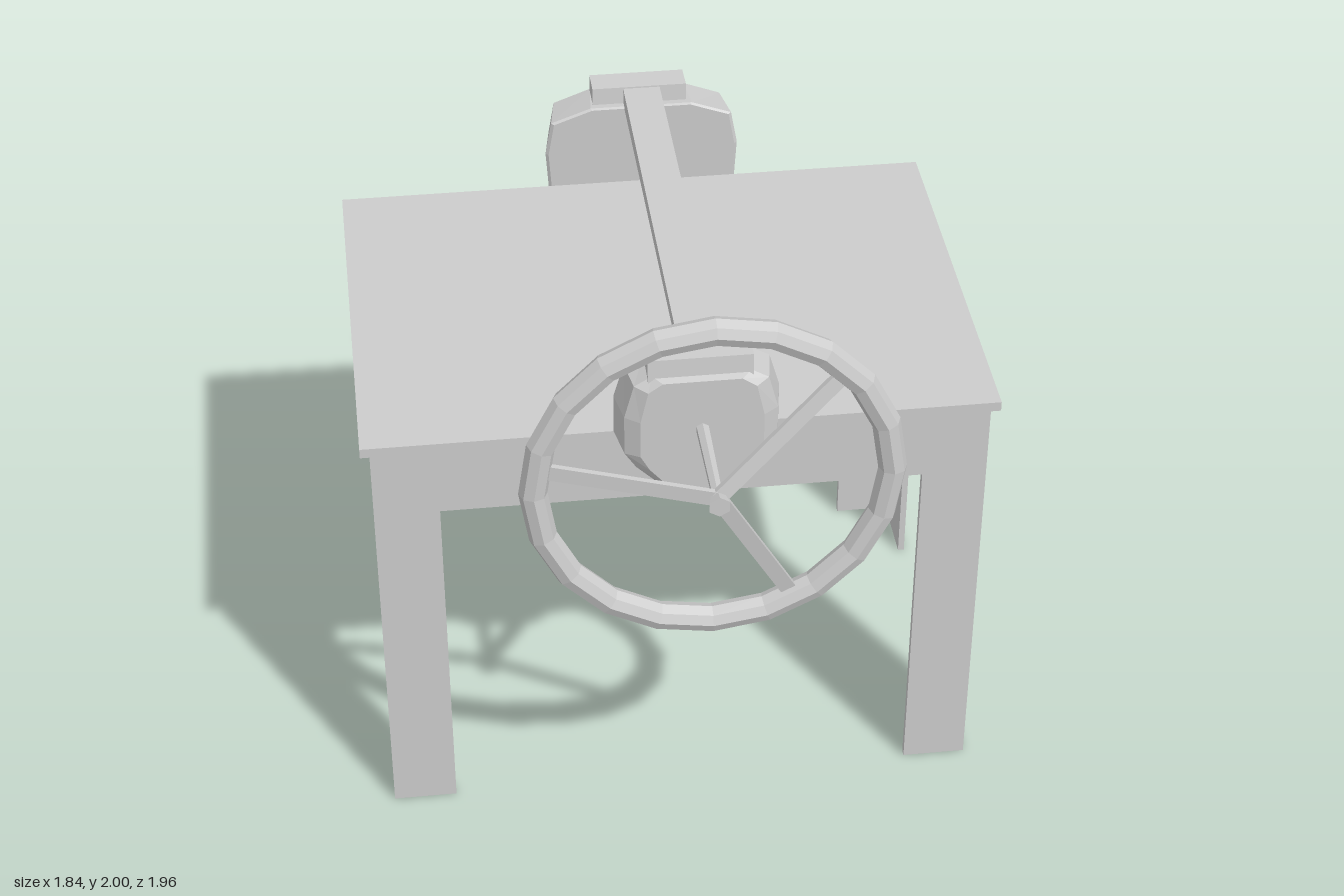
import * as THREE from 'three';

const material = new THREE.MeshStandardMaterial({ color: 0xcccccc, flatShading: true });
const CX = 0.033; // the steering assembly sits slightly off centre

function add(parent, name, geometry, x = 0, y = 0, z = 0) {
  const mesh = new THREE.Mesh(geometry, material);
  mesh.name = name;
  mesh.position.set(x, y, z);
  parent.add(mesh);
  return mesh;
}

// Box given by its minimum and maximum corners
function boxBetween(parent, name, x0, x1, y0, y1, z0, z1) {
  return add(parent, name, new THREE.BoxGeometry(x1 - x0, y1 - y0, z1 - z0),
    (x0 + x1) / 2, (y0 + y1) / 2, (z0 + z1) / 2);
}

// Two legs and the apron between them, cut from one board
function archBoard(width, leg, thickness) {
  const w = width / 2, height = 1.34, opening = 1.12;
  const shape = new THREE.Shape([
    [-w, 0], [-w + leg, 0], [-w + leg, opening], [w - leg, opening],
    [w - leg, 0], [w, 0], [w, height], [-w, height],
  ].map(([x, y]) => new THREE.Vector2(x, y)));
  return new THREE.ExtrudeGeometry(shape, { depth: thickness, bevelEnabled: false });
}

// Closed body through scaled copies of a half outline; sections: [z, scaleX, scaleY], z rising
function housing(half, sections) {
  const ring = [...half, ...half.slice().reverse().map(([x, y]) => [-x, y])];
  const n = ring.length, positions = [], index = [];
  for (const [z, sx, sy] of sections) for (const [x, y] of ring) positions.push(x * sx, y * sy, z);
  for (let s = 0; s < sections.length - 1; s++) {
    for (let i = 0; i < n; i++) {
      const a = s * n + i, b = s * n + (i + 1) % n;
      index.push(a, b, b + n, a, b + n, a + n);
    }
  }
  const last = (sections.length - 1) * n;
  for (let i = 1; i < n - 1; i++) {
    index.push(0, i + 1, i, last, last + i, last + i + 1);
  }
  const geometry = new THREE.BufferGeometry();
  geometry.setAttribute('position', new THREE.Float32BufferAttribute(positions, 3));
  geometry.setIndex(index);
  geometry.computeVertexNormals();
  return geometry;
}

// Flat bar between two points, its broad side facing the front
function bar(parent, name, from, to, width, depth) {
  const mesh = add(parent, name, new THREE.BoxGeometry(width, depth, from.distanceTo(to)));
  mesh.position.copy(from).add(to).multiplyScalar(0.5);
  mesh.up.set(0, 0, 1);
  mesh.lookAt(to);
}

function createTable() {
  const table = new THREE.Group();
  table.name = 'table';
  const t = 0.02, front = 0.475, back = -0.78, side = 0.893;
  boxBetween(table, 'tableTop', -0.92, 0.92, 1.34, 1.37, -0.82, 0.485);
  // Closed underside, flush with the lower edge of the apron
  boxBetween(table, 'underside', -side + t, side - t, 1.12, 1.14, back + t, front - t);
  add(table, 'frontBoard', archBoard(2 * side, 0.19, t), 0, 0, front - t);
  add(table, 'backBoard', archBoard(2 * side, 0.19, t), 0, 0, back);
  for (const [name, x] of [['leftBoard', side - t], ['rightBoard', -side]]) {
    const board = add(table, name, archBoard(front - back - 2 * t, 0.235, t), x, 0, (front + back) / 2);
    board.rotation.y = Math.PI / 2;
  }
  return table;
}

function createWheel() {
  const wheel = new THREE.Group();
  wheel.name = 'steeringWheel';
  const y = 1.468;
  add(wheel, 'rim', new THREE.TorusGeometry(0.494, 0.04, 8, 20), CX, y, 0.862);
  const hub = new THREE.Vector3(CX, y, 0.945);
  for (const degrees of [43, 171, 298]) {
    const a = THREE.MathUtils.degToRad(degrees);
    const end = new THREE.Vector3(CX + 0.47 * Math.cos(a), y + 0.47 * Math.sin(a), 0.865);
    bar(wheel, 'spoke', hub, end, 0.045, 0.016);
  }
  const shaft = add(wheel, 'shaft', new THREE.CylinderGeometry(0.016, 0.02, 0.36, 6), CX, y, 0.79);
  shaft.rotation.x = Math.PI / 2;
  const cap = add(wheel, 'hub', new THREE.CylinderGeometry(0.032, 0.02, 0.05, 6), CX, y, 0.96);
  cap.rotation.x = Math.PI / 2;
  return wheel;
}

function createColumn() {
  const column = new THREE.Group();
  column.name = 'steeringColumn';
  const y = 1.455;

  // Front housing behind the wheel
  const frontHalf = [[0.135, -0.185], [0.2, -0.125], [0.235, -0.075],
    [0.235, 0.05], [0.205, 0.155], [0.15, 0.185]];
  add(column, 'frontHousing', housing(frontHalf, [
    [0.48, 0.62, 0.92], [0.5, 1, 1], [0.605, 0.92, 1], [0.633, 0.74, 0.95],
  ]), CX, y, 0);

  // Wider rear housing
  const backHalf = [[0.16, -0.185], [0.255, -0.168], [0.297, -0.1],
    [0.305, 0.03], [0.285, 0.14], [0.16, 0.185]];
  add(column, 'rearHousing', housing(backHalf, [
    [-0.974, 0.5, 0.6], [-0.96, 0.93, 0.97], [-0.83, 1, 1], [-0.822, 0.97, 0.98],
  ]), CX, y, 0);

  // Tapered caps on top of both housings
  for (const [name, z] of [['frontCap', 0.562], ['rearCap', -0.902]]) {
    const cap = new THREE.BoxGeometry(0.295, 0.09, 0.11);
    const p = cap.attributes.position;
    for (let i = 0; i < p.count; i++) if (p.getY(i) > 0) p.setZ(i, p.getZ(i) * 0.8);
    add(column, name, cap, 0.03, 1.647, z);
  }

  // Raised panels on the rear face
  for (const [low, high] of [[1.33, 1.455], [1.475, 1.58]]) {
    boxBetween(column, 'rearPanel', -0.11, 0.17, low, high, -0.979, -0.95);
  }

  // Long beam joining the housings, slightly thinner at the front
  const beam = new THREE.BoxGeometry(0.115, 0.055, 1.4);
  const p = beam.attributes.position;
  for (let i = 0; i < p.count; i++) if (p.getZ(i) > 0) p.setY(i, p.getY(i) * 0.7);
  add(column, 'beam', beam, 0.037, 1.66, -0.17);
  return column;
}

export function createModel() {
  const model = new THREE.Group();
  model.name = 'steeringTable';
  model.add(createTable(), createWheel(), createColumn());
  return model;
}
